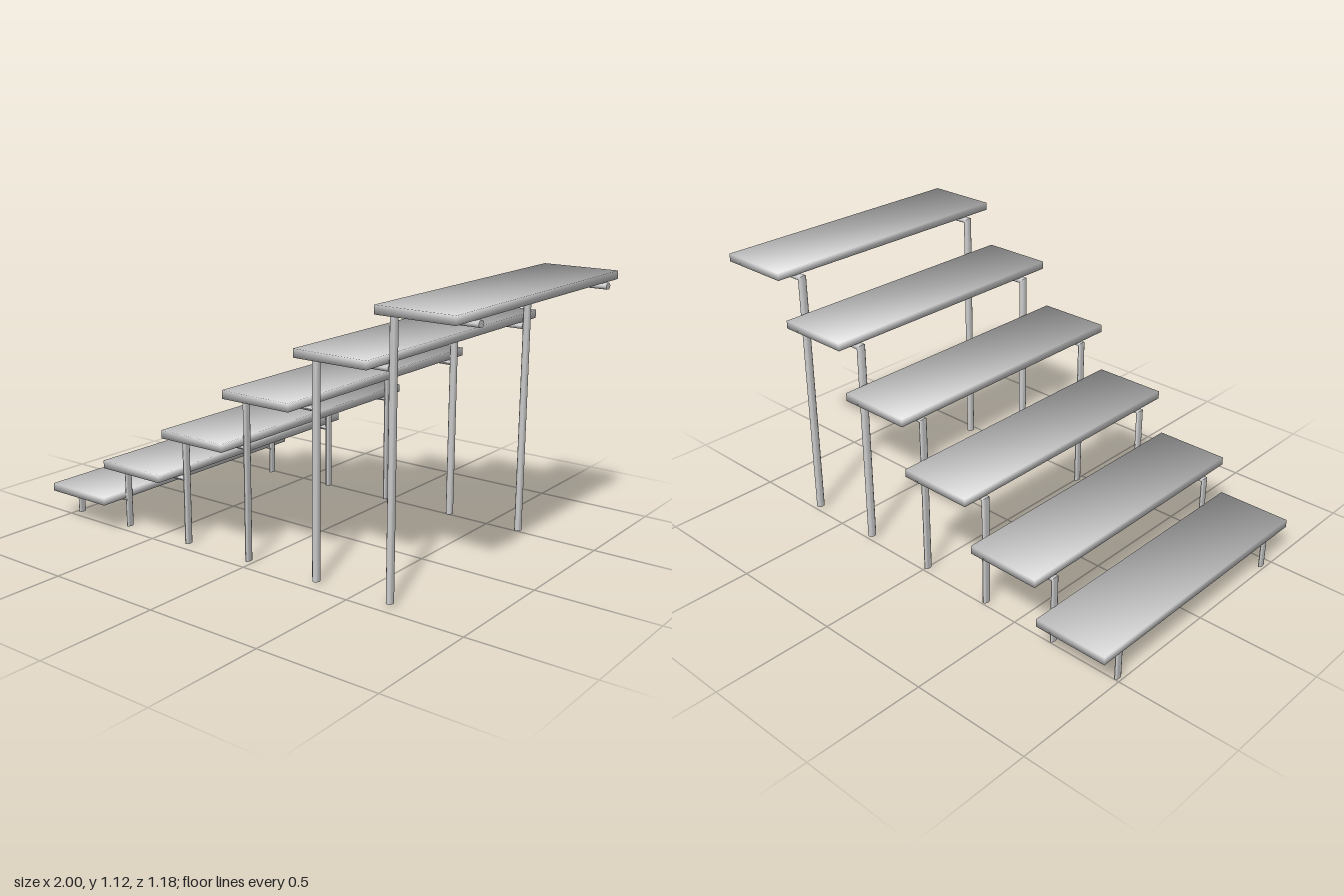
import * as THREE from 'three';
import { toCreasedNormals } from 'three/addons/utils/BufferGeometryUtils.js';

const SIDES = 12;
const material = new THREE.MeshStandardMaterial({ color: 0xcccccc });

// Each step: plank left edge and bottom, leg centre and foot, bar end, leg and bar half thickness
const steps = [
  { px: -1.0, py: 0.128, lx: -0.982, foot: 0, end: -0.675, rx: 0.008, ry: 0.0065 },
  { px: -0.676, py: 0.293, lx: -0.68, foot: 0.002, end: -0.335, rx: 0.008, ry: 0.011 },
  { px: -0.334, py: 0.483, lx: -0.337, foot: 0.006, end: -0.01, rx: 0.011, ry: 0.01 },
  { px: -0.011, py: 0.694, lx: -0.012, foot: 0.01, end: 0.32, rx: 0.01, ry: 0.011 },
  { px: 0.329, py: 0.897, lx: 0.325, foot: 0.013, end: 0.65, rx: 0.015, ry: 0.015 },
  { px: 0.674, py: 1.09, lx: 0.661, foot: 0.015, end: 1.0, rx: 0.014, ry: 0.0135 },
];
const plankSize = [0.315, 0.033, 1.176];
const legRadiusZ = 0.0175;

// Plank with corner-averaged normals for soft shading
function plankGeometry() {
  const geo = new THREE.BoxGeometry(...plankSize);
  const p = geo.attributes.position;
  const n = new THREE.Vector3();
  for (let i = 0; i < p.count; i++) {
    n.set(Math.sign(p.getX(i)), Math.sign(p.getY(i)), Math.sign(p.getZ(i))).normalize();
    geo.attributes.normal.setXYZ(i, n.x, n.y, n.z);
  }
  return geo;
}

// Bent pipe: foot ring, mitred corner ring, bar end ring, plus two end caps
function supportGeometry({ py, lx, foot, end, rx, ry }) {
  const yc = py - ry;
  const rings = [
    (c) => [lx + rx * c, foot],
    (c) => [lx + rx * c, yc - ry * c],
    (c) => [end, yc - ry * c],
  ];
  const pos = [];
  const index = [];
  for (const ring of rings) {
    for (let i = 0; i < SIDES; i++) {
      const a = (i / SIDES) * Math.PI * 2;
      pos.push(...ring(Math.cos(a)), legRadiusZ * Math.sin(a));
    }
  }
  const footCentre = SIDES * 3;
  pos.push(lx, foot, 0, end, yc, 0);
  for (let i = 0; i < SIDES; i++) {
    const j = (i + 1) % SIDES;
    for (let r = 0; r < 2; r++) {
      const a = r * SIDES + i, b = r * SIDES + j;
      index.push(a, a + SIDES, b, b, a + SIDES, b + SIDES);
    }
    index.push(footCentre, i, j, footCentre + 1, 2 * SIDES + j, 2 * SIDES + i);
  }
  const geo = new THREE.BufferGeometry();
  geo.setAttribute('position', new THREE.Float32BufferAttribute(pos, 3));
  geo.setIndex(index);
  return toCreasedNormals(geo, Math.PI / 4);
}

export function createModel() {
  const model = new THREE.Group();
  model.name = 'steppedStand';
  const plankGeo = plankGeometry();

  steps.forEach((s, i) => {
    const step = new THREE.Group();
    step.name = `step${i + 1}`;

    // Plank
    const plank = new THREE.Mesh(plankGeo, material);
    plank.name = 'plank';
    plank.position.set(s.px + plankSize[0] / 2, s.py + plankSize[1] / 2, 0);
    step.add(plank);

    // Front and back bent supports
    const geo = supportGeometry(s);
    for (const [name, z] of [['frontSupport', 0.452], ['backSupport', -0.483]]) {
      const support = new THREE.Mesh(geo, material);
      support.name = name;
      support.position.z = z;
      step.add(support);
    }
    model.add(step);
  });
  return model;
}
